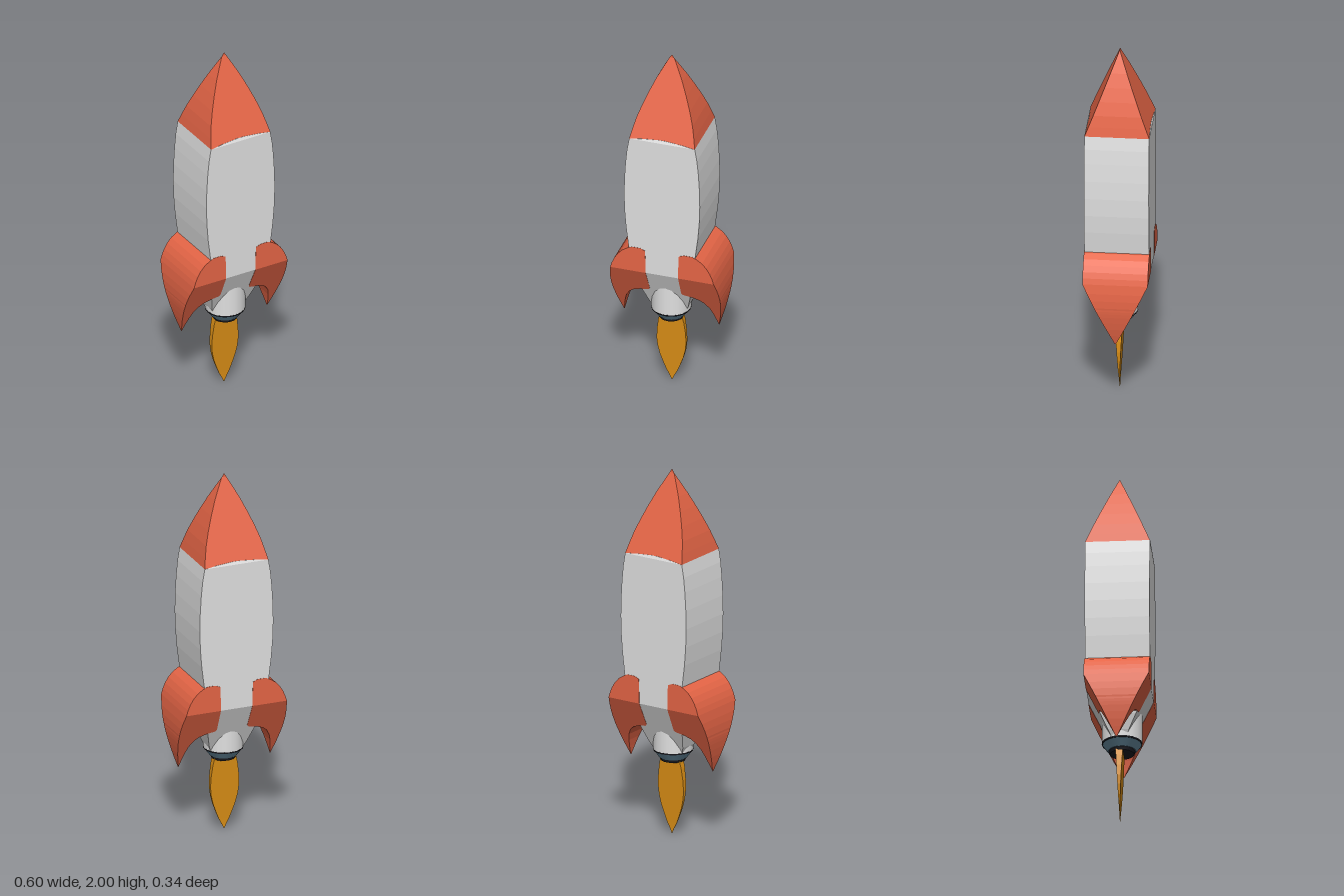
import * as THREE from 'three';

const mat = (name, color) => {
  const m = new THREE.MeshStandardMaterial({ color });
  m.name = name;
  return m;
};

// Lofts rectangular sections; each row is [y, xMin, xMax], depth(y) gives the half thickness
function loft(rows, depth) {
  const rings = rows.map(([y, x0, x1]) => {
    const h = depth(y);
    return [[x0, y, h], [x1, y, h], [x1, y, -h], [x0, y, -h]];
  });
  const pos = [];
  const quad = (a, b, c, d) => [a, b, c, a, c, d].forEach((p) => pos.push(...p));
  for (let i = 0; i < rings.length - 1; i++) {
    const t = rings[i], u = rings[i + 1];
    for (let k = 0; k < 4; k++) {
      const n = (k + 1) % 4;
      quad(t[k], u[k], u[n], t[n]);
    }
  }
  quad(...rings[0]);
  quad(...rings[rings.length - 1].slice().reverse());
  const g = new THREE.BufferGeometry();
  g.setAttribute('position', new THREE.Float32BufferAttribute(pos, 3));
  g.computeVertexNormals();
  return g;
}

const symmetric = (rows) => rows.map(([y, x]) => [y, -x, x]);

// Half thickness of the hull: wedge nose, straight middle, wedge tail
function hullDepth(y) {
  if (y > 1.55) return Math.max(0, 0.17 * (1.98 - y) / 0.43);
  if (y < 0.74) return Math.max(0, 0.17 * (y - 0.385) / 0.355);
  return 0.17;
}

export function createModel() {
  const red = mat('red paint', 0xe56546);
  const grey = mat('light grey hull', 0xe0e0e0);
  const blue = mat('steel blue', 0x6d93a8);
  const dark = mat('dark metal', 0x1c1c22);
  const orange = mat('flame orange', 0xdb8f16);

  const group = new THREE.Group();
  group.name = 'rocket';
  const add = (name, geometry, material) => {
    const mesh = new THREE.Mesh(geometry, material);
    mesh.name = name;
    group.add(mesh);
    return mesh;
  };

  // Nose and hull
  add('nose', loft(symmetric([
    [2, 0], [1.98, 0.013], [1.93, 0.04], [1.87, 0.071], [1.8, 0.102],
    [1.73, 0.13], [1.66, 0.154], [1.6, 0.169], [1.55, 0.18],
  ]), hullDepth), red);
  add('hull', loft(symmetric([
    [1.55, 0.18], [1.48, 0.192], [1.4, 0.2], [1.3, 0.206], [1.2, 0.208], [1.1, 0.205],
    [1, 0.197], [0.88, 0.182], [0.74, 0.16], [0.58, 0.13], [0.5, 0.107], [0.46, 0.09],
  ]), hullDepth), grey);

  // Gently arched paint line below the nose
  add('noseSeam', loft(symmetric([[1.566, 0.02], [1.559, 0.11], [1.55, 0.176]]),
    (y) => hullDepth(y) + 0.001), grey);

  // Swept fins, mirrored
  const fin = [
    [0.886, 0.12, 0.165], [0.875, 0.093, 0.19], [0.855, 0.092, 0.22], [0.83, 0.091, 0.243],
    [0.8, 0.09, 0.262], [0.77, 0.09, 0.275], [0.74, 0.089, 0.284], [0.69, 0.088, 0.293],
    [0.65, 0.087, 0.297], [0.61, 0.086, 0.298], [0.6, 0.095, 0.297], [0.59, 0.143, 0.297],
    [0.575, 0.182, 0.296], [0.555, 0.206, 0.294], [0.52, 0.228, 0.289], [0.48, 0.241, 0.282],
    [0.44, 0.25, 0.273], [0.388, 0.26, 0.26],
  ];
  const finDepth = (y) => hullDepth(y) + 0.0015;
  add('leftFin', loft(fin, finDepth), red);
  add('rightFin', loft(fin.map(([y, a, b]) => [y, -b, -a]), finDepth), red);

  // Engine: shroud, collar and nozzle mouth
  const engine = [
    ['engineShroud', 0.106, 0.106, 0.465, 0.66, grey],
    ['shroudRim', 0.107, 0.105, 0.458, 0.466, dark],
    ['engineCollar', 0.102, 0.074, 0.42, 0.458, blue],
    ['nozzleMouth', 0.07, 0.064, 0.403, 0.42, dark],
  ];
  for (const [name, rTop, rBottom, y0, y1, material] of engine) {
    const g = new THREE.CylinderGeometry(rTop, rBottom, y1 - y0, 20);
    add(name, g, material).position.set(0, (y0 + y1) / 2, 0.011);
  }

  // Flat exhaust flame
  add('flame', loft(symmetric([
    [0.41, 0.061], [0.37, 0.07], [0.31, 0.078], [0.25, 0.081], [0.2, 0.076],
    [0.15, 0.064], [0.1, 0.046], [0.06, 0.03], [0.03, 0.014], [0, 0],
  ]), (y) => Math.max(0.0005, 0.019 * (y - 0.03) / 0.38)), orange);

  return group;
}
